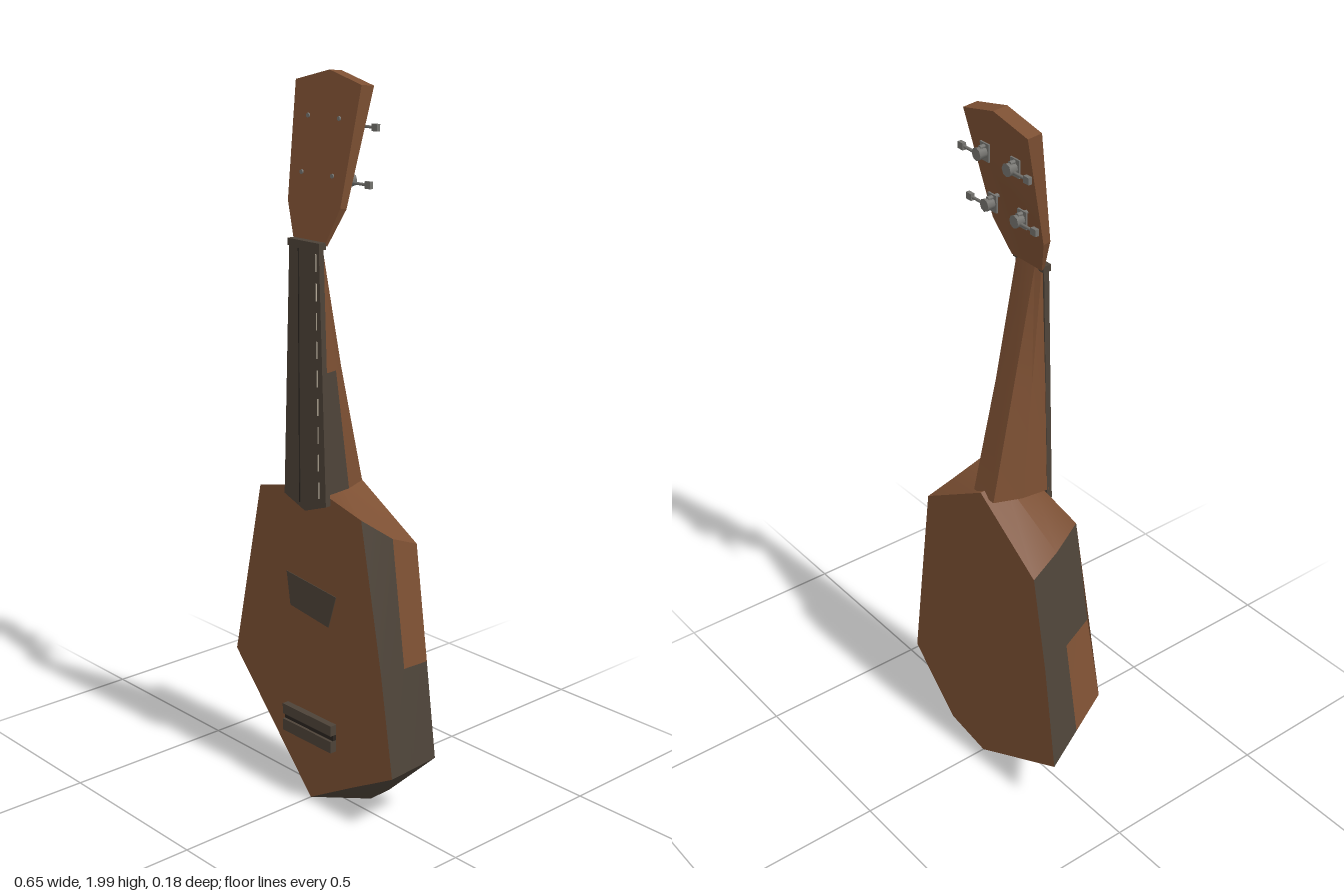
import * as THREE from 'three';
import { toCreasedNormals } from 'three/addons/utils/BufferGeometryUtils.js';

const mat = (name, color) => new THREE.MeshStandardMaterial({ name, color, side: THREE.DoubleSide });

// Mesh made of flat polygons, each a list of [x, y, z] corners
function polygons(name, polys, material, crease = 0.8) {
  const pos = [];
  for (const p of polys)
    for (let i = 1; i < p.length - 1; i++) pos.push(...p[0], ...p[i], ...p[i + 1]);
  const g = new THREE.BufferGeometry();
  g.setAttribute('position', new THREE.Float32BufferAttribute(pos, 3));
  const mesh = new THREE.Mesh(toCreasedNormals(g, crease), material);
  mesh.name = name;
  return mesh;
}

// Upright plate from a front outline, standing between two depths
function plate(name, pts, z, depth, material) {
  const shape = new THREE.Shape(pts.map(p => new THREE.Vector2(...p)));
  const mesh = new THREE.Mesh(new THREE.ExtrudeGeometry(shape, { depth, bevelEnabled: false }), material);
  mesh.position.z = z;
  mesh.name = name;
  return mesh;
}

function box(name, size, at, material) {
  const mesh = new THREE.Mesh(new THREE.BoxGeometry(...size), material);
  mesh.position.set(...at);
  mesh.name = name;
  return mesh;
}

const mix = (a, b, t) => a.map((v, i) => v + (b[i] - v) * t);

function createBody(wood, dark) {
  const body = new THREE.Group();
  body.name = 'body';
  // Outlines run clockwise from the neck joint, corner matched to corner
  const front = [[0, 0.93], [0.2, 0.88], [0.28, 0.47], [0.325, 0.19], [0.16, 0.1], [0, 0.01],
    [-0.32, 0.36], [-0.262, 0.59], [-0.205, 0.88]].map(p => [...p, 0.065]);
  const back = [[0, 0.935], [0.243, 0.79], [0.288, 0.47], [0.325, 0.2], [0.15, 0.035], [0, 0.01],
    [-0.325, 0.185], [-0.28, 0.5], [-0.227, 0.78]].map(p => [...p, -0.095]);
  const mid = front.map((p, i) => mix(p, back[i], 0.5));
  mid[0][1] = 0.94;
  mid[1] = [0.235, 0.82, -0.015];
  mid[4] = [0.16, 0.04, -0.015];
  mid[8] = [-0.222, 0.83, -0.015];
  // Whether the front and rear half of each side panel is dark
  const darkFront = [0, 1, 1, 1, 1, 0, 0, 1, 0];
  const darkBack = [0, 0, 1, 1, 1, 0, 1, 1, 0];
  const sides = [[], []];
  front.forEach((p, i) => {
    const j = (i + 1) % front.length;
    sides[darkFront[i]].push([p, front[j], mid[j], mid[i]]);
    sides[darkBack[i]].push([mid[i], mid[j], back[j], back[i]]);
  });
  // Wind the faces outward
  const flip = list => list.map(q => [...q].reverse());
  body.add(
    polygons('soundboard', [[...front].reverse()], wood),
    polygons('backBoard', [back], wood),
    polygons('woodSides', flip(sides[0]), wood),
    polygons('darkSides', flip(sides[1]), dark),
    plate('soundHole', [[-0.095, 0.66], [-0.08, 0.565], [0.075, 0.545], [0.105, 0.64]], 0.065, 0.002, dark));
  return body;
}

function createNeck(wood, dark) {
  const neck = new THREE.Group();
  neck.name = 'neck';
  const section = (half, y) => [...half.map(([x, z]) => [x, y, z]),
    ...[...half].reverse().map(([x, z]) => [-x, y, z])];
  const low = section([[0.082, 0.07], [0.072, -0.01], [0.042, -0.085]], 0.92);
  const high = section([[0.055, 0.07], [0.05, 0.064], [0.03, 0.058]], 1.57);
  const mid = low.map((p, i) => mix(p, high[i], 0.5));
  const wooden = [], shaded = [];
  for (let i = 0; i < 5; i++) {
    (i === 0 ? shaded : wooden).push([low[i], mid[i], mid[i + 1], low[i + 1]]);
    wooden.push([mid[i], high[i], high[i + 1], mid[i + 1]]);
  }
  wooden.push([...low], [...high].reverse());
  neck.add(polygons('neckWood', wooden.map(q => [...q].reverse()), wood),
    polygons('neckDarkSide', shaded.map(q => [...q].reverse()), dark));
  neck.add(plate('fretboard', [[0, 0.86], [0.083, 0.89], [0.057, 1.565], [-0.057, 1.565], [-0.083, 0.89]],
    0.066, 0.016, dark));
  neck.add(box('nut', [0.122, 0.018, 0.024], [0, 1.572, 0.073], dark));
  return neck;
}

// Leaning slab that thins out toward the nut
const headFront = y => 0.065 - (y - 1.57) * 0.163;
function createHeadstock(wood) {
  const outline = [[0, 2], [-0.123, 1.97], [-0.1, 1.67], [-0.06, 1.575], [0.06, 1.575], [0.1, 1.67], [0.123, 1.97]];
  const front = outline.map(([x, y]) => [x, y, headFront(y)]);
  const back = outline.map(([x, y]) => [x, y - 0.004, headFront(y) - 0.008 - 0.034 * Math.min(1, (y - 1.575) / 0.25)]);
  const polys = [front, [...back].reverse()];
  front.forEach((p, i) => {
    const j = (i + 1) % front.length;
    polys.push([p, back[i], back[j], front[j]]);
  });
  return polygons('headstock', polys, wood, 0.3);
}

// Geared peg on the rear of the headstock with a button to the side
function createTuner(side, y, metal) {
  const tuner = new THREE.Group();
  tuner.name = 'tuner';
  const z = headFront(y) - 0.055;
  const x = side * 0.058;
  const gear = new THREE.Mesh(new THREE.CylinderGeometry(0.014, 0.017, 0.026, 8), metal);
  gear.rotation.x = Math.PI / 2;
  gear.position.set(x, y - 0.015, z);
  gear.name = 'gear';
  const reach = side > 0 ? 0.08 : 0.07;
  const shaft = new THREE.Mesh(new THREE.CylinderGeometry(0.004, 0.004, reach, 6), metal);
  shaft.rotation.z = Math.PI / 2;
  shaft.position.set(x + side * reach / 2, y - 0.02, z);
  shaft.name = 'shaft';
  const post = new THREE.Mesh(new THREE.CylinderGeometry(0.006, 0.006, 0.062, 6), metal);
  post.rotation.x = Math.PI / 2;
  post.position.set(x, y, headFront(y) - 0.027);
  post.name = 'post';
  tuner.add(gear, shaft, post,
    box('plate', [0.034, 0.046, 0.005], [x, y - 0.015, z + 0.014], metal),
    box('button', [0.02, 0.018, 0.011], [side * (side > 0 ? 0.131 : 0.122), y - 0.02, z], metal));
  return tuner;
}

export function createModel() {
  const wood = mat('brown wood', 0x7d5033);
  const dark = mat('dark wood', 0x4d4338);
  const black = mat('groove', 0x2a241f);
  const metal = mat('metal', 0x74736f);
  const pale = mat('string', 0xb5aa98);

  const model = new THREE.Group();
  model.name = 'ukulele';
  model.add(createBody(wood, dark), createNeck(wood, dark), createHeadstock(wood));

  // Bridge: two rails with a saddle groove between them
  const bridge = new THREE.Group();
  bridge.name = 'bridge';
  bridge.add(box('lowerRail', [0.2, 0.034, 0.02], [0.005, 0.207, 0.075], dark),
    box('upperRail', [0.2, 0.03, 0.02], [0.005, 0.255, 0.075], dark),
    box('saddle', [0.2, 0.016, 0.012], [0.005, 0.232, 0.071], black));
  model.add(bridge);

  for (const side of [-1, 1])
    for (const y of [1.885, 1.745]) model.add(createTuner(side, y, metal));

  // Strings: one dark line and one broken pale line over the fretboard
  model.add(box('darkString', [0.003, 0.68, 0.002], [-0.02, 1.22, 0.083], black));
  for (let i = 0; i < 9; i++)
    model.add(box('paleString', [0.003, 0.045, 0.002], [0.056 - i * 0.0012, 0.93 + i * 0.075, 0.083], pale));
  return model;
}
